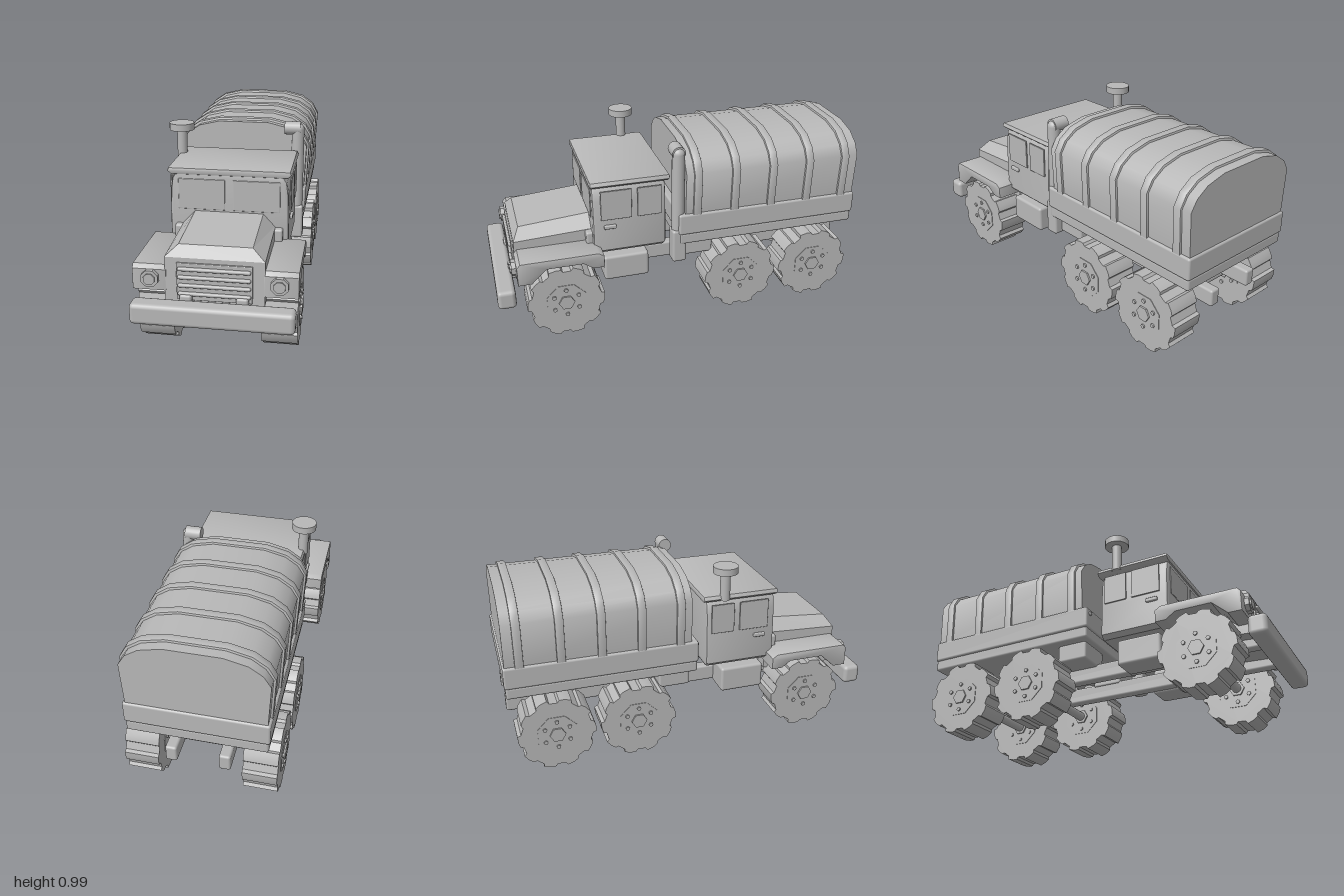
import * as THREE from 'three';
import { toCreasedNormals } from 'three/addons/utils/BufferGeometryUtils.js';
import { RoundedBoxGeometry } from 'three/addons/geometries/RoundedBoxGeometry.js';

const grey = new THREE.MeshStandardMaterial({ color: 0xb8b8b8 });
grey.name = 'plain grey';

function add(parent, name, geometry, x = 0, y = 0, z = 0) {
  const mesh = new THREE.Mesh(geometry, grey);
  mesh.name = name;
  mesh.position.set(x, y, z);
  parent.add(mesh);
  return mesh;
}

// Rounded box given by its limits on each axis
function block(parent, name, [x0, x1], [y0, y1], [z0, z1], r = 0.012) {
  const g = new RoundedBoxGeometry(x1 - x0, y1 - y0, z1 - z0, 2, r);
  return add(parent, name, g, (x0 + x1) / 2, (y0 + y1) / 2, (z0 + z1) / 2);
}

const shapeOf = (pts) => new THREE.Shape(pts.map(([x, y]) => new THREE.Vector2(x, y)));

// Half outline (right side, bottom to top) mirrored into a closed shape
const mirrored = (half) => shapeOf([...half, ...half.map(([x, y]) => [-x, y]).reverse()]);

// Extrude a front outline between two z values, with an optional bevel
function extrudeZ(shape, z0, z1, bevel = 0) {
  const g = new THREE.ExtrudeGeometry(shape, {
    depth: z1 - z0 - 2 * bevel, bevelEnabled: bevel > 0,
    bevelSize: bevel, bevelThickness: bevel, bevelOffset: -bevel, bevelSegments: 2,
  });
  g.translate(0, 0, z0 + bevel);
  return toCreasedNormals(g, 0.7);
}

// Extrude a side outline, given as (z, y), between two x values
function extrudeX(pts, x0, x1, bevel = 0) {
  const g = extrudeZ(shapeOf(pts), 0, x1 - x0, bevel);
  return g.rotateY(-Math.PI / 2).translate(x1, 0, 0);
}

const cylX = (r, length, sides) =>
  new THREE.CylinderGeometry(r, r, length, sides).rotateZ(Math.PI / 2);
const cylZ = (r, length, sides) =>
  new THREE.CylinderGeometry(r, r, length, sides).rotateX(Math.PI / 2);

function flat(g) {
  const out = g.toNonIndexed();
  out.computeVertexNormals();
  return out;
}

// Wheel with stepped lugs, hub plate, hub and bolts on both faces
function makeWheel() {
  const wheel = new THREE.Group();
  const pts = [];
  const lugs = 10;
  for (let i = 0; i < lugs; i++) {
    for (const [t, r] of [[0, 0.206], [0.3, 0.203], [0.5, 0.198], [0.57, 0.184], [0.93, 0.188]]) {
      const a = ((i + t) / lugs) * Math.PI * 2 - 0.1;
      pts.push([r * Math.cos(a), r * Math.sin(a)]);
    }
  }
  add(wheel, 'tyre', extrudeX(pts, -0.087, 0.087));
  add(wheel, 'hubPlate', flat(cylX(0.11, 0.18, 8).rotateX(Math.PI / 8)));
  add(wheel, 'hub', flat(cylX(0.042, 0.198, 6)));
  for (let i = 0; i < 6; i++) {
    const a = (i / 6) * Math.PI * 2 + Math.PI / 6;
    add(wheel, 'wheelBolt', cylX(0.011, 0.195, 8), 0, 0.074 * Math.sin(a), 0.074 * Math.cos(a));
  }
  return wheel;
}

// Hood lofted between a rear section and a leaning front section
function hoodGeometry() {
  const rear = [[0.237, 0.32, 0.46], [0.237, 0.54, 0.46], [0.175, 0.607, 0.46]];
  const front = [[0.237, 0.3, 0.89], [0.237, 0.52, 0.885], [0.175, 0.575, 0.85]];
  const ring = (half) => [...half, ...half.map(([x, y, z]) => [-x, y, z]).reverse()];
  const a = ring(rear), b = ring(front), pos = [];
  const n = a.length;
  for (let i = 0; i < n; i++) {
    const j = (i + 1) % n;
    pos.push(...a[i], ...b[j], ...b[i], ...a[i], ...a[j], ...b[j]);
  }
  for (let i = 0; i < 2; i++) {
    const k = n - 1 - i;
    pos.push(...b[i], ...b[i + 1], ...b[k - 1], ...b[i], ...b[k - 1], ...b[k]);
    pos.push(...a[i], ...a[k - 1], ...a[i + 1], ...a[i], ...a[k], ...a[k - 1]);
  }
  const g = new THREE.BufferGeometry();
  g.setAttribute('position', new THREE.Float32BufferAttribute(pos, 3));
  g.computeVertexNormals();
  return g;
}

export function createModel() {
  const truck = new THREE.Group();
  truck.name = 'cargoTruck';

  // Wheels and axles
  for (const z of [0.65, -0.32, -0.755]) {
    add(truck, 'axle', cylX(0.025, 0.5, 12), 0, 0.207, z);
    for (const side of [-1, 1]) {
      const wheel = makeWheel();
      wheel.name = 'wheel';
      wheel.position.set(side * 0.3, 0.207, z);
      truck.add(wheel);
    }
  }

  // Chassis, side boxes and front wings
  for (const s of [-1, 1]) {
    const span = (a, b) => (s > 0 ? [a, b] : [-b, -a]);
    block(truck, 'chassisRail', span(0.105, 0.163), [0.255, 0.345], [-0.985, 0.92]);
    block(truck, 'fuelTank', span(0.15, 0.3), [0.243, 0.385], [0.18, 0.425], 0.015);
    block(truck, 'bedSupport', span(0.1, 0.3), [0.33, 0.43], [-0.18, -0.01]);
    block(truck, 'cowlPanel', span(0.22, 0.277), [0.39, 0.537], [0.455, 0.51]);
    const [x0, x1] = span(0.23, 0.394);
    add(truck, 'fender', extrudeX([
      [0.89, 0.35], [0.89, 0.455], [0.872, 0.475], [0.47, 0.475], [0.44, 0.455],
      [0.44, 0.39], [0.5, 0.39], [0.55, 0.425], [0.74, 0.425], [0.82, 0.35],
    ], x0, x1, 0.004));

    // Headlight
    add(truck, 'headlightRim', flat(cylZ(0.044, 0.05, 8).rotateZ(Math.PI / 8)), s * 0.306, 0.414, 0.888);
    add(truck, 'headlightLens', flat(cylZ(0.029, 0.02, 8).rotateZ(Math.PI / 8)), s * 0.306, 0.414, 0.911);

    // Cab glass, door handle and windscreen
    block(truck, 'windscreen', span(0.02, 0.26), [0.615, 0.775], [0.473, 0.481], 0.0035);
    block(truck, 'doorWindow', span(0.303, 0.312), [0.615, 0.78], [0.27, 0.435], 0.004);
    block(truck, 'rearSideWindow', span(0.303, 0.312), [0.615, 0.78], [0.11, 0.24], 0.004);
    block(truck, 'doorHandle', span(0.3, 0.318), [0.563, 0.585], [0.355, 0.42], 0.006);
    add(truck, 'bedLatch', new THREE.SphereGeometry(0.011, 10, 8), s * 0.317, 0.573, 0.026);
  }
  block(truck, 'frontBumper', [-0.388, 0.388], [0.215, 0.32], [0.905, 1], 0.022);

  // Hood and grille
  add(truck, 'hood', hoodGeometry());
  block(truck, 'grillePanel', [-0.18, 0.18], [0.31, 0.497], [0.88, 0.896], 0.004);
  for (let i = 0; i < 4; i++) {
    const y = 0.345 + i * 0.0415;
    block(truck, 'grilleSlat', [-0.173, 0.173], [y - 0.009, y + 0.009], [0.885, 0.91], 0.008);
  }

  // Cab and roof
  add(truck, 'cab', extrudeZ(mirrored([
    [0.28, 0.412], [0.305, 0.435], [0.305, 0.6], [0.3, 0.72], [0.292, 0.775], [0.27, 0.81],
  ]), 0.085, 0.477, 0.015));
  add(truck, 'cabRoof', extrudeZ(mirrored([
    [0.296, 0.797], [0.316, 0.813], [0.308, 0.832],
  ]), 0.065, 0.485, 0.008));

  // Air intake
  add(truck, 'intakePipe', new THREE.CylinderGeometry(0.027, 0.027, 0.16, 20), -0.303, 0.885, 0.183);
  add(truck, 'intakeCap', new THREE.CylinderGeometry(0.066, 0.066, 0.037, 24), -0.303, 0.976, 0.183);

  // Exhaust stack
  block(truck, 'exhaustBox', [0.265, 0.345], [0.32, 0.51], [-0.02, 0.058], 0.014);
  add(truck, 'exhaustPipe', new THREE.CylinderGeometry(0.034, 0.034, 0.44, 20), 0.306, 0.72, 0.02);
  add(truck, 'exhaustElbow', new THREE.SphereGeometry(0.034, 20, 12), 0.306, 0.941, 0.02);
  add(truck, 'exhaustOutlet', cylX(0.036, 0.086, 20), 0.277, 0.946, 0.02);

  // Cargo bed
  block(truck, 'bedFloor', [-0.348, 0.348], [0.427, 0.49], [-0.99, 0.02], 0.012);
  block(truck, 'bedSides', [-0.355, 0.355], [0.486, 0.605], [-0.995, 0.025], 0.012);

  // Canvas cover with raised hoops
  const arch = (d) => mirrored([
    [0.341 + d, 0.59], [0.352 + d, 0.835], [0.316 + d, 0.892 + d * 0.6],
    [0.25 + d * 0.6, 0.936 + d], [0.138 + d * 0.3, 0.963 + d],
  ]);
  add(truck, 'canvasCover', extrudeZ(arch(0), -0.985, -0.012));
  for (let i = 0; i < 5; i++) {
    const z = -0.075 - i * 0.209;
    add(truck, 'canvasHoop', extrudeZ(arch(0.012), z - 0.022, z + 0.022, 0.003));
  }
  return truck;
}
